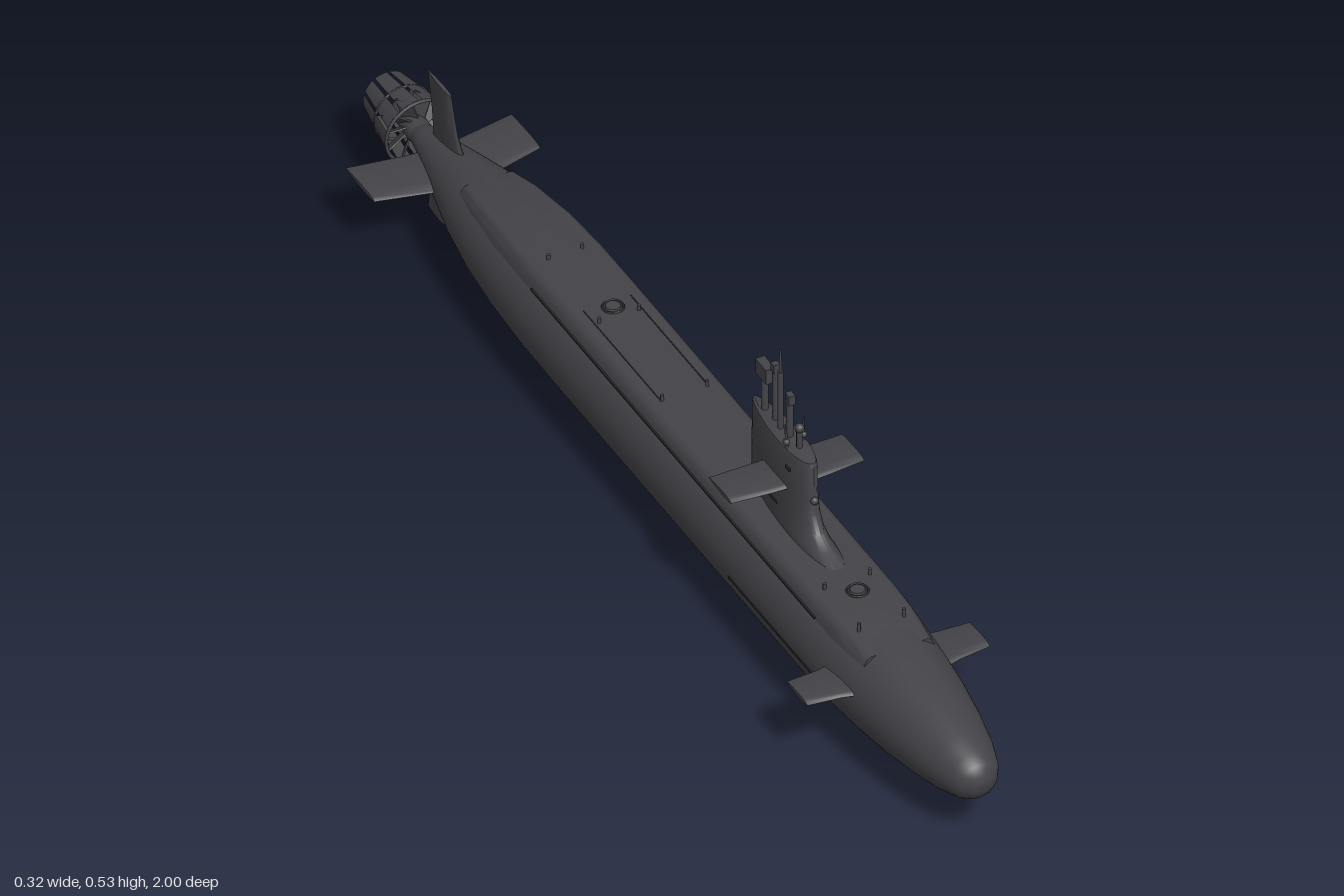
import * as THREE from 'three';
import { toCreasedNormals } from 'three/addons/utils/BufferGeometryUtils.js';

const AXIS = 0.126; // height of the hull centreline

const hullGrey = new THREE.MeshStandardMaterial({ color: 0x444348 });
hullGrey.name = 'hull grey';
const ductGrey = new THREE.MeshStandardMaterial({ color: 0x444348, side: THREE.DoubleSide });
ductGrey.name = 'duct grey';
const seamDark = new THREE.MeshStandardMaterial({ color: 0x29292c });
seamDark.name = 'seam dark';

// Skin closed rings of equal length, counter-clockwise about the loft direction
function loft(rings, crease = 0.7) {
  const n = rings[0].length, pos = [], index = [];
  rings.forEach(r => r.forEach(p => pos.push(...p)));
  for (let i = 0; i < rings.length - 1; i++) {
    for (let j = 0; j < n; j++) {
      const a = i * n + j, b = i * n + (j + 1) % n;
      index.push(a, b, b + n, a, b + n, a + n);
    }
  }
  [0, rings.length - 1].forEach((i, end) => {
    const c = pos.length / 3;
    pos.push(...[0, 1, 2].map(k => rings[i].reduce((s, p) => s + p[k], 0) / n));
    for (let j = 0; j < n; j++) {
      const a = i * n + j, b = i * n + (j + 1) % n;
      if (end) index.push(c, a, b); else index.push(c, b, a);
    }
  });
  const g = new THREE.BufferGeometry();
  g.setAttribute('position', new THREE.Float32BufferAttribute(pos, 3));
  g.setIndex(index);
  return toCreasedNormals(g, crease);
}

// Fin growing along +x; each station is [x, front z, back z, thickness]
function finGeometry(stations, n = 20) {
  return loft(stations.map(([x, front, back, t]) => Array.from({ length: n }, (_, j) => {
    const a = j / n * Math.PI * 2, s = Math.sin(a);
    return [x, t / 2 * Math.cos(a) * (0.85 + 0.3 * s), (front + back) / 2 + (front - back) / 2 * s];
  })));
}

export function createModel() {
  const model = new THREE.Group();
  model.name = 'submarine';

  function add(name, geometry, x = 0, y = 0, z = 0, material = hullGrey, parent = model) {
    const m = new THREE.Mesh(geometry, material);
    m.name = name;
    m.position.set(x, y, z);
    parent.add(m);
    return m;
  }
  const box = (name, w, h, d, x, y, z, mat, parent) =>
    add(name, new THREE.BoxGeometry(w, h, d), x, y, z, mat, parent);
  const post = (name, r, y0, y1, x, z, parent, rTop = r) =>
    add(name, new THREE.CylinderGeometry(rTop, r, y1 - y0, 12), x, (y0 + y1) / 2, z, hullGrey, parent);

  // Hull of revolution, [radius, z] from stern to bow
  const profile = [[0, -0.9], [0.018, -0.895], [0.024, -0.86], [0.037, -0.81], [0.054, -0.74],
    [0.07, -0.67], [0.083, -0.59], [0.092, -0.49], [0.0965, -0.39], [0.0975, -0.28], [0.0975, 0],
    [0.0975, 0.3], [0.0975, 0.56], [0.095, 0.65], [0.089, 0.73], [0.081, 0.8], [0.07, 0.87],
    [0.057, 0.93], [0.044, 0.97], [0.032, 0.989], [0.016, 0.998], [0, 1]];
  const hull = new THREE.LatheGeometry(profile.map(p => new THREE.Vector2(...p)), 48);
  add('hull', hull.rotateX(Math.PI / 2), 0, AXIS, 0);

  // Flat-topped deck casing with raised shoulders, following the hull
  const side = [[0.074, 0.058], [0.07, 0.078], [0.064, 0.088], [0.056, 0.092], [0.048, 0.0905],
    [0.04, 0.092], [0.02, 0.0975]];
  const section = [...side, [0, 0.099], ...side.map(([x, y]) => [-x, y]).reverse()];
  const casing = [[-0.66, 0.7], [-0.6, 0.83], [-0.5, 0.95], [-0.4, 0.995], [-0.3, 1], [0.58, 1],
    [0.64, 0.98], [0.67, 0.95], [0.72, 0.88]];
  add('deckCasing', loft(casing.map(([z, k]) => section.map(([x, y]) => [x * k, AXIS + y * k, z]))));

  // Sail: teardrop sections with a swept fillet at the leading base
  const sail = [[0.2, 0.545, 0.222, 0.028], [0.224, 0.525, 0.224, 0.028], [0.232, 0.487, 0.228, 0.027],
    [0.248, 0.456, 0.23, 0.026], [0.275, 0.44, 0.231, 0.026], [0.31, 0.435, 0.231, 0.025],
    [0.366, 0.434, 0.231, 0.023], [0.373, 0.431, 0.233, 0.021], [0.376, 0.42, 0.24, 0.015]];
  add('sail', loft(sail.map(([y, front, back, w]) => Array.from({ length: 32 }, (_, j) => {
    const a = j / 32 * Math.PI * 2, c = Math.cos(a);
    return [w * Math.sin(a) * (0.95 + 0.2 * c), y, (front + back) / 2 + (front - back) / 2 * c];
  }))));

  // Diving planes and rudders, turned into place around the long axis
  function fin(name, stations, y, turn) {
    add(name, finGeometry(stations), 0, y, 0).rotation.z = turn;
  }
  const sailPlane = [[0.01, 0.388, 0.304, 0.014], [0.05, 0.386, 0.304, 0.012], [0.118, 0.38, 0.304, 0.009]];
  const bowPlane = [[0.07, 0.735, 0.635, 0.014], [0.105, 0.725, 0.645, 0.012], [0.162, 0.718, 0.648, 0.009]];
  const sternPlane = [[0.01, -0.71, -0.842, 0.016], [0.05, -0.738, -0.844, 0.014], [0.147, -0.762, -0.86, 0.009]];
  [['left', 0], ['right', Math.PI]].forEach(([s, turn]) => {
    fin(s + 'SailPlane', sailPlane, 0.302, turn);
    fin(s + 'BowPlane', bowPlane, 0.149, turn);
    fin(s + 'SternPlane', sternPlane, 0.127, turn);
  });
  fin('upperRudder', [[0.01, -0.7, -0.842, 0.014], [0.055, -0.745, -0.845, 0.013],
    [0.08, -0.762, -0.848, 0.012], [0.142, -0.782, -0.862, 0.008]], AXIS, Math.PI / 2);
  fin('lowerRudder', [[0.01, -0.72, -0.842, 0.014], [0.06, -0.765, -0.85, 0.012],
    [0.125, -0.8, -0.86, 0.008]], AXIS, -Math.PI / 2);

  // Propulsor: tapering slatted duct around a bladed hub
  const jet = new THREE.Group();
  jet.name = 'propulsor';
  jet.position.set(0, AXIS, 0);
  model.add(jet);
  const slats = 10;
  for (let i = 0; i < slats; i++) {
    const a = i / slats * Math.PI * 2;
    const slat = new THREE.CylinderGeometry(0.061, 0.042, 0.112, 4, 1, true, a, Math.PI * 2 / slats * 0.82);
    add('ductSlat', slat.rotateX(Math.PI / 2), 0, 0, -0.944, ductGrey, jet);
    const blade = new THREE.BoxGeometry(0.046, 0.003, 0.03).rotateX(0.6).translate(0.034, 0, 0);
    add('rotorBlade', blade, 0, 0, -0.91, hullGrey, jet).rotation.z = a;
  }
  add('ductLip', new THREE.TorusGeometry(0.059, 0.003, 6, 40), 0, 0, -0.889, hullGrey, jet);
  add('ductBand', new THREE.TorusGeometry(0.05, 0.0025, 6, 40), 0, 0, -0.945, hullGrey, jet);
  const hub = [[0, -0.975], [0.01, -0.965], [0.018, -0.94], [0.021, -0.9], [0.02, -0.87]];
  add('rotorHub', new THREE.LatheGeometry(hub.map(p => new THREE.Vector2(...p)), 20)
    .rotateX(Math.PI / 2), 0, 0, 0, hullGrey, jet);

  // Masts, periscopes and antennas on the sail
  const masts = new THREE.Group();
  masts.name = 'masts';
  model.add(masts);
  post('mainPeriscope', 0.005, 0.37, 0.487, -0.003, 0.327, masts);
  post('whipAntenna', 0.0028, 0.48, 0.53, -0.003, 0.327, masts, 0.0018);
  post('searchPeriscope', 0.006, 0.37, 0.45, 0, 0.352, masts);
  box('periscopeHead', 0.011, 0.018, 0.014, 0, 0.45, 0.354, hullGrey, masts);
  post('sensorMast', 0.005, 0.37, 0.475, 0, 0.304, masts);
  box('sensorHead', 0.011, 0.016, 0.011, 0, 0.478, 0.304, hullGrey, masts);
  post('radarMast', 0.006, 0.37, 0.445, -0.002, 0.272, masts);
  box('radarHead', 0.016, 0.028, 0.036, -0.002, 0.452, 0.274, hullGrey, masts);
  post('snorkel', 0.005, 0.37, 0.41, 0, 0.385, masts);
  add('snorkelCap', new THREE.SphereGeometry(0.008, 12, 8), 0, 0.413, 0.385, hullGrey, masts);
  [[-0.018, 0.375], [0.015, 0.37]].forEach(([x, z]) => {
    post('flankAntenna', 0.0035, 0.365, 0.42, x, z, masts, 0.0012).rotation.z = x > 0 ? -0.03 : 0.06;
    add('antennaPod', new THREE.SphereGeometry(0.006, 10, 8), x, 0.385, z, hullGrey, masts);
  });
  add('bowSonarDome', new THREE.SphereGeometry(0.007, 12, 8), 0, 0.303, 0.435);

  // Deck hatches: low rim around a lid
  [-0.24, 0.58].forEach(z => {
    add('hatchRim', new THREE.TorusGeometry(0.017, 0.002, 6, 28).rotateX(Math.PI / 2), 0, 0.2245, z, seamDark);
    add('hatchLid', new THREE.CylinderGeometry(0.012, 0.014, 0.006, 20), 0, 0.2245, z);
  });

  // Mirrored bollards, deck seams, flank strips and sail doors
  [-1, 1].forEach(s => {
    [[0.04, 0.66], [0.04, 0.545], [0.04, 0], [0.035, -0.22], [0.03, -0.4]].forEach(([x, z]) => {
      post('bollard', 0.003, 0.208, 0.229, s * x, z, model);
    });
    box('deckSeam', 0.002, 0.003, 0.26, s * 0.042, 0.2172, -0.13, seamDark);
    box('flankStrip', 0.003, 0.004, 0.28, s * 0.0965, 0.115, 0.47, seamDark);
    box('shoulderSeam', 0.003, 0.003, 0.95, s * 0.0735, 0.193, 0.1, seamDark);
    box('sailDoor', 0.002, 0.004, 0.045, s * 0.0255, 0.255, 0.335, seamDark);
    box('sailLight', 0.003, 0.005, 0.012, s * 0.0235, 0.345, 0.39, seamDark);
  });
  box('keelSounder', 0.008, 0.014, 0.012, 0, 0.041, 0.81);

  return model;
}
